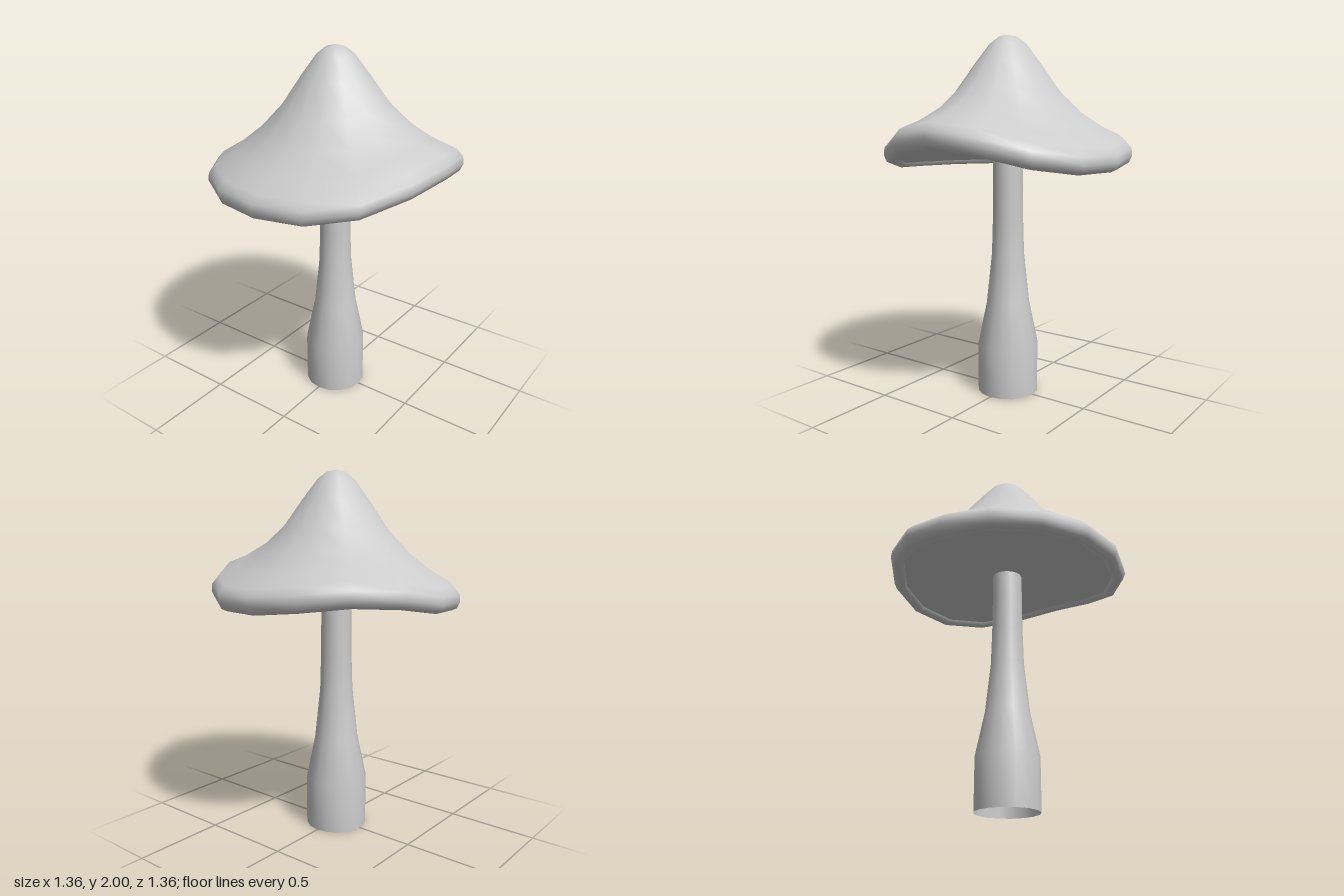
import * as THREE from 'three';
import { mergeVertices } from 'three/addons/utils/BufferGeometryUtils.js';

const SIDES = 16;
const RIM = 0.68;

// Lift of the cap rim at each of the 16 spokes, from +z round through +x
const LIFT = [0.14, 0.105, 0.045, 0.012, 0.015, 0.04, 0.065, 0.05,
  0.01, 0, 0, 0, 0, 0.005, 0.04, 0.105];

// Lathe with a seamless smooth surface; the optional wave bends it towards the rim
function lathe(points, wavy) {
  const geo = new THREE.LatheGeometry(points.map(([r, y]) => new THREE.Vector2(r, y)), SIDES);
  const pos = geo.attributes.position;
  if (wavy) {
    for (let i = 0; i < pos.count; i++) {
      const x = pos.getX(i), z = pos.getZ(i);
      const spoke = Math.round(Math.atan2(x, z) / (2 * Math.PI) * SIDES + SIDES) % SIDES;
      const fall = Math.min(1, Math.hypot(x, z) / (RIM * 0.93)) ** 1.4;
      pos.setY(i, pos.getY(i) + LIFT[spoke] * fall);
    }
  }
  geo.deleteAttribute('uv');
  geo.deleteAttribute('normal');
  const merged = mergeVertices(geo, 1e-4);
  merged.computeVertexNormals();
  return merged;
}

export function createModel() {
  const group = new THREE.Group();
  const material = new THREE.MeshStandardMaterial({ color: 0xcccccc, side: THREE.DoubleSide });
  const add = (name, geometry) => {
    const mesh = new THREE.Mesh(geometry, material);
    mesh.name = name;
    group.add(mesh);
  };

  // Stem: open tube, swollen at the foot
  add('stem', lathe([[0.172, 0], [0.172, 0.28], [0.122, 0.52], [0.092, 0.8],
    [0.086, 1.0], [0.084, 1.2], [0.084, 1.37]]));

  // Cap: rolled lip, flared skirt and rounded peak
  add('cap', lathe([[0.6, 1.295], [0.61, 1.275], [0.635, 1.268], [0.662, 1.28], [0.678, 1.315],
    [0.674, 1.355], [0.64, 1.395], [0.53, 1.46], [0.41, 1.553], [0.29, 1.68],
    [0.18, 1.84], [0.1, 1.948], [0.05, 1.988], [0, 2]], true));

  // Underside: shallow hollow inside the lip
  add('capUnderside', lathe([[0, 1.345], [0.2, 1.338], [0.42, 1.32], [0.6, 1.295]], true));

  return group;
}
